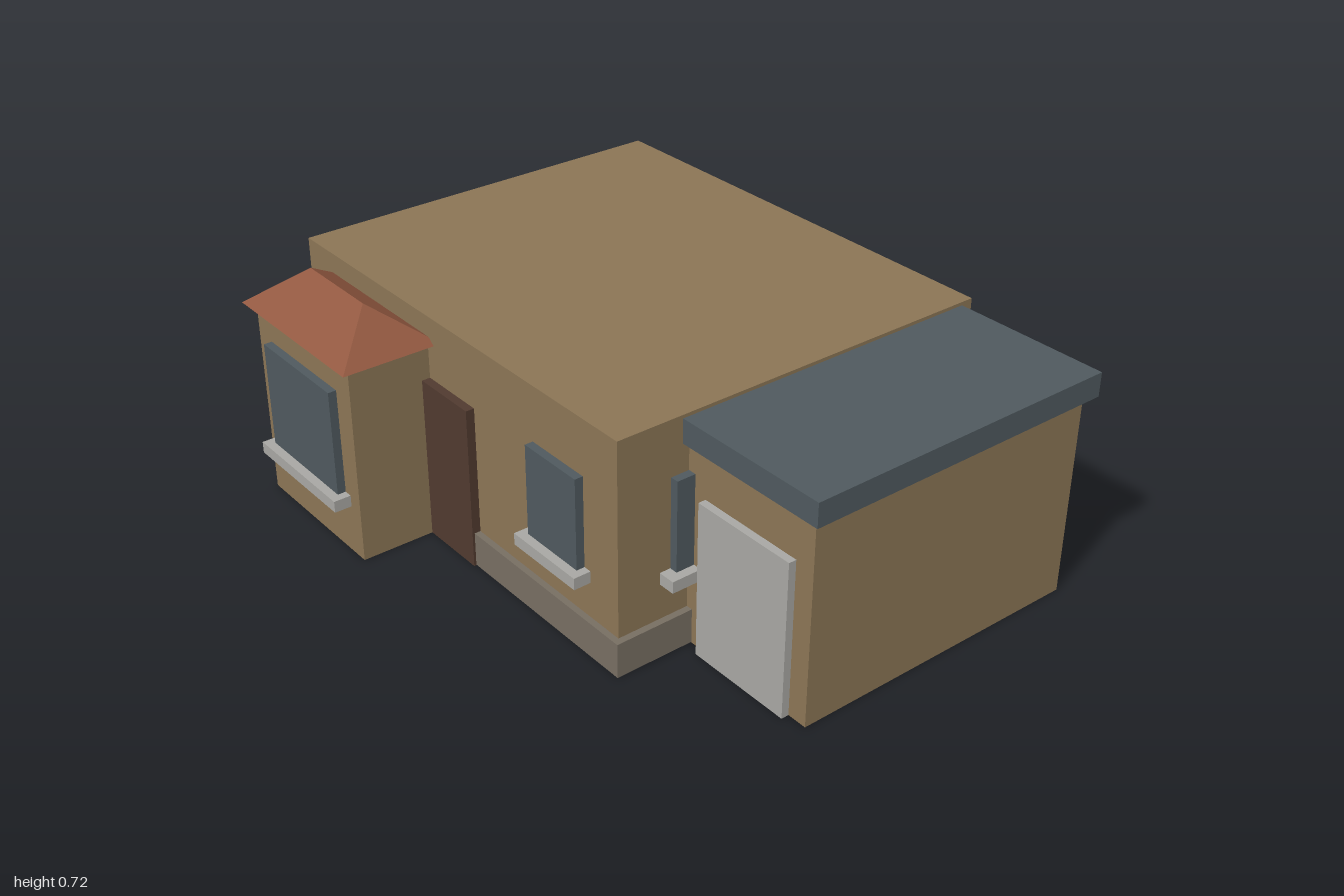
import * as THREE from 'three';

const paint = (name, color) => {
  const m = new THREE.MeshStandardMaterial({ color });
  m.name = name;
  return m;
};

export function createModel() {
  const house = new THREE.Group();
  house.name = 'house';

  const wall = paint('tan wall', 0x8b7555);
  const stone = paint('grey stone', 0x776e62);
  const slate = paint('slate blue', 0x4f595e);
  const tile = paint('terracotta tile', 0x925840);
  const wood = paint('dark wood', 0x503a2f);
  const pale = paint('pale grey', 0xa8a7a3);

  // Box given by its minimum and maximum on each axis
  const box = (name, mat, [x0, x1], [y0, y1], [z0, z1], parent = house) => {
    const mesh = new THREE.Mesh(new THREE.BoxGeometry(x1 - x0, y1 - y0, z1 - z0), mat);
    mesh.position.set((x0 + x1) / 2, (y0 + y1) / 2, (z0 + z1) / 2);
    mesh.name = name;
    parent.add(mesh);
    return mesh;
  };

  // Main block and its plinth
  box('mainWalls', wall, [-0.945, 0.52], [0, 0.685], [-0.732, 0.488]);
  box('plinth', stone, [-0.965, 0.54], [0.002, 0.106], [-0.755, 0.507]);

  // Garage wing
  box('garageWalls', wall, [0.515, 0.975], [0, 0.606], [-0.665, 0.264]);
  box('garageRoof', slate, [0.515, 1.0], [0.604, 0.675], [-0.695, 0.285]);
  box('garageDoor', pale, [0.585, 0.915], [0, 0.465], [0.25, 0.287]);

  // Front bay and entrance
  box('bayWalls', wall, [-0.812, -0.314], [0, 0.606], [0.45, 0.737]);
  box('frontDoor', wood, [-0.316, -0.1], [0, 0.495], [0.46, 0.514]);

  // Hipped bay roof: the top of a box is pinched to a ridge line
  const hip = new THREE.BoxGeometry(0.556, 0.114, 0.304);
  const p = hip.attributes.position;
  for (let i = 0; i < p.count; i++) {
    if (p.getY(i) > 0) p.setXYZ(i, Math.sign(p.getX(i)) * 0.14, p.getY(i), 0);
  }
  const hipFlat = hip.toNonIndexed();
  hipFlat.computeVertexNormals();
  const bayRoof = new THREE.Mesh(hipFlat, tile);
  bayRoof.position.set(-0.563, 0.661, 0.615);
  bayRoof.name = 'bayRoof';
  house.add(bayRoof);

  // Window with a sill, built facing +z at a wall and turned to its side
  const addWindow = (name, x, z, turn, width, y0, y1, overhang) => {
    const g = new THREE.Group();
    g.name = name;
    const w = width / 2, s = w + overhang;
    box('pane', slate, [-w, w], [y0, y1], [-0.02, 0.025], g);
    box('sill', pale, [-s, s], [y0 - 0.035, y0], [-0.02, 0.052], g);
    g.position.set(x, 0, z);
    g.rotation.y = turn;
    house.add(g);
  };

  addWindow('bayWindow', -0.565, 0.737, 0, 0.355, 0.189, 0.51, 0.026);
  addWindow('frontWindow', 0.275, 0.488, 0, 0.212, 0.249, 0.52, 0.025);
  for (const x of [-0.702, -0.214, 0.273]) {
    addWindow('backWindow', x, -0.732, Math.PI, 0.214, 0.249, 0.52, 0.025);
  }
  for (const z of [-0.43, 0.182]) {
    addWindow('sideWindow', -0.945, z, -Math.PI / 2, 0.266, 0.249, 0.52, 0.034);
  }
  addWindow('sideWindow', 0.52, 0.188, Math.PI / 2, 0.266, 0.249, 0.52, 0.034);

  return house;
}
